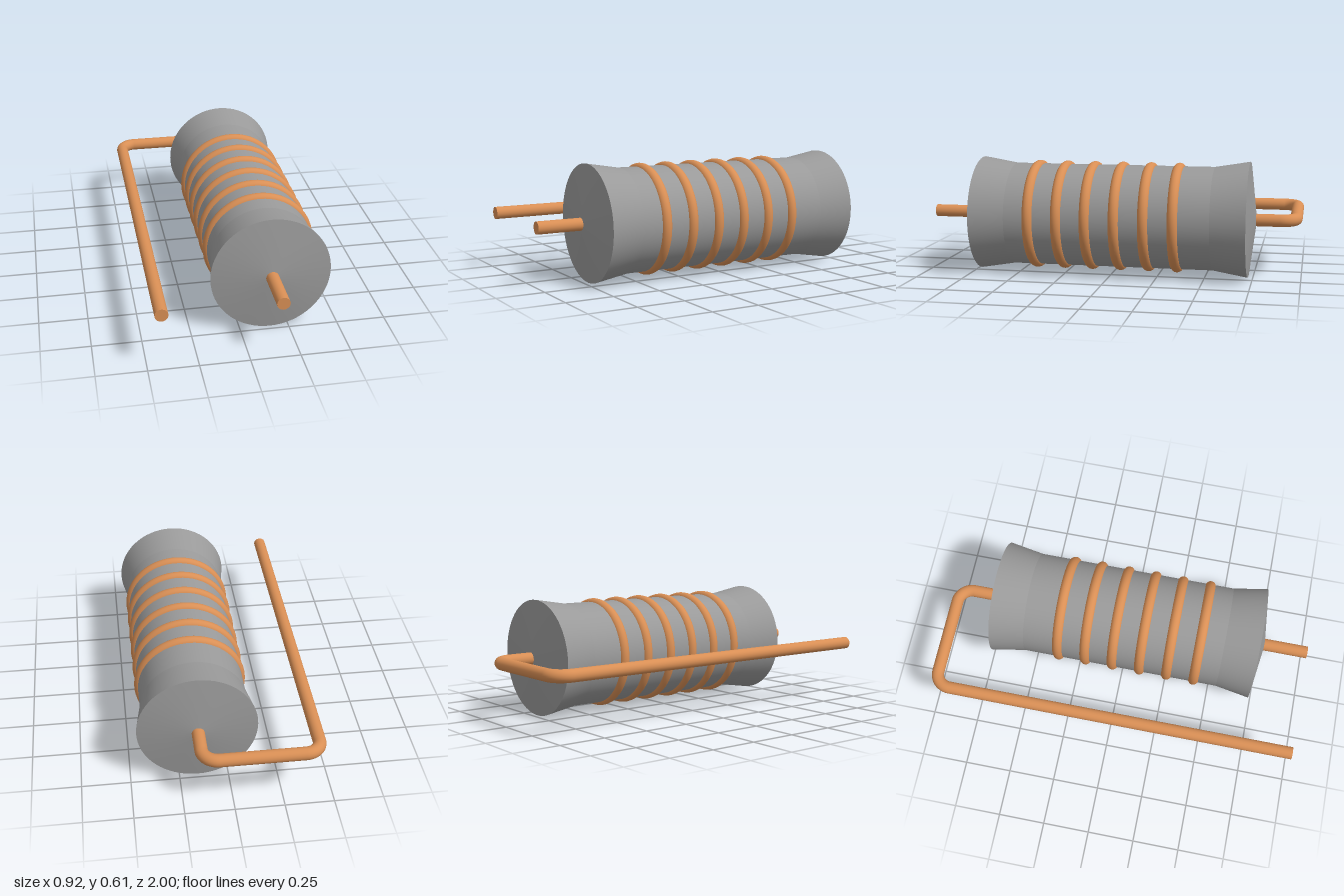
import * as THREE from 'three';
import { toCreasedNormals } from 'three/addons/utils/BufferGeometryUtils.js';

export function createModel() {
  const model = new THREE.Group();
  const darkGrey = new THREE.MeshStandardMaterial({ color: 0x9a9a9a });
  const copper = new THREE.MeshStandardMaterial({ color: 0xd98f55 });
  const axisX = 0.155, axisY = 0.305;

  function add(parent, name, geometry, material, x, z) {
    const mesh = new THREE.Mesh(geometry, material);
    mesh.name = name;
    mesh.position.set(x, axisY, z);
    parent.add(mesh);
    return mesh;
  }

  // Turned body: straight waist, flared ends, shallow conical end faces
  const half = [[0.274, 0.54], [0.305, 0.725], [0, 0.765]];
  const profile = [
    ...half.map(([r, z]) => new THREE.Vector2(r, -z)).reverse(),
    ...half.map(([r, z]) => new THREE.Vector2(r, z)),
  ];
  const body = toCreasedNormals(new THREE.LatheGeometry(profile, 64).rotateX(Math.PI / 2), 0.15);
  add(model, 'body', body, darkGrey, axisX, 0);

  // Six evenly spaced rings around the waist
  const rings = new THREE.Group();
  rings.name = 'rings';
  model.add(rings);
  for (let i = 0; i < 6; i++) {
    add(rings, 'ring', new THREE.TorusGeometry(0.263, 0.029, 16, 64), copper, axisX, -0.351 + i * 0.1526);
  }

  // Wire leads: a short front lead, and a rear lead that folds back alongside the body
  const wireR = 0.033, bend = 0.08, sideX = -0.427, backZ = -0.967;
  const bendZ = backZ + bend;
  const leads = new THREE.Group();
  leads.name = 'leads';
  model.add(leads);

  function straight(name, length, x, z, alongX = false) {
    const geometry = new THREE.CylinderGeometry(wireR, wireR, length, 24);
    if (alongX) geometry.rotateZ(Math.PI / 2);
    else geometry.rotateX(Math.PI / 2);
    add(leads, name, geometry, copper, x, z);
  }
  function corner(name, startAngle, x) {
    const geometry = new THREE.TorusGeometry(bend, wireR, 24, 12, Math.PI / 2);
    geometry.rotateZ(startAngle).rotateX(Math.PI / 2);
    add(leads, name, geometry, copper, x, bendZ);
  }

  straight('frontLead', 0.3, axisX, 0.85);
  straight('rearLead', -0.7 - bendZ, axisX, (bendZ - 0.7) / 2);
  corner('leftBend', -Math.PI / 2, axisX - bend);
  straight('crossLead', axisX - sideX - 2 * bend, (axisX + sideX) / 2, backZ, true);
  corner('rightBend', Math.PI, sideX + bend);
  straight('sideLead', 1 - bendZ, sideX, (1 + bendZ) / 2);

  return model;
}
